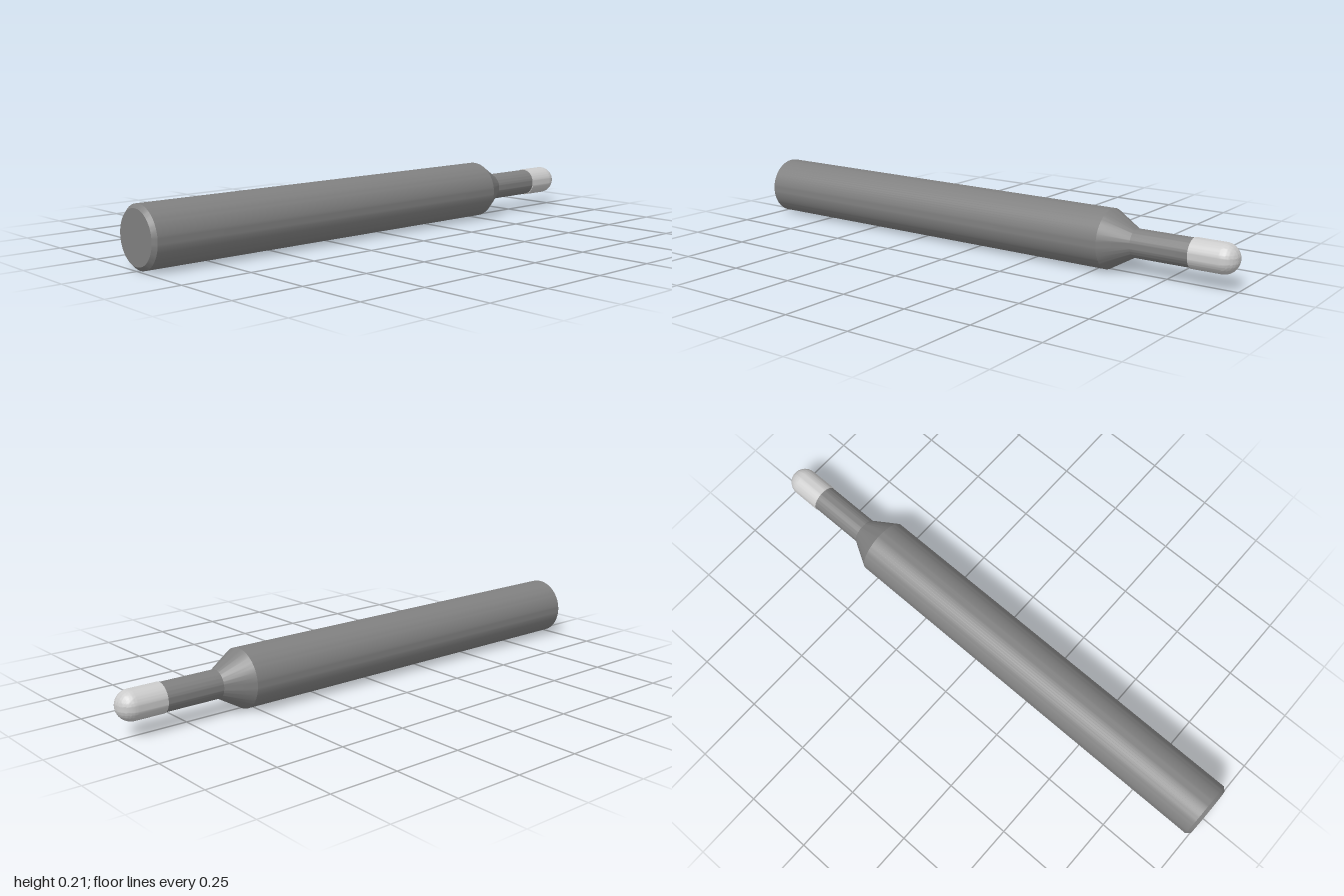
import * as THREE from 'three';
import { toCreasedNormals } from 'three/addons/utils/BufferGeometryUtils.js';

const SIDES = 72;
const UNIT = 1 / 19;           // one tool millimetre
const SHANK_R = 2 * UNIT;
const NECK_R = 0.95 * UNIT;
const BALL_R = UNIT;
const CHAMFER = 0.25 * UNIT;
const TIP_START = 1 - 3 * UNIT;
const NECK_START = 1 - 7 * UNIT;
const TAPER_START = NECK_START - (SHANK_R - NECK_R) * Math.sqrt(3); // 30 degree cone

// Turns a profile of [radius, distance toward the back] around the tool axis
function turned(name, profile, color) {
  const points = profile.map(([r, d]) => new THREE.Vector2(r, d));
  const lathe = new THREE.LatheGeometry(points, SIDES);
  lathe.rotateX(-Math.PI / 2);
  const mesh = new THREE.Mesh(
    toCreasedNormals(lathe, 0.35),
    new THREE.MeshStandardMaterial({ color })
  );
  mesh.name = name;
  mesh.position.y = SHANK_R;
  return mesh;
}

export function createModel() {
  const model = new THREE.Group();
  model.name = 'ballEndTool';

  // Shank with chamfered end, conical shoulder and thin neck
  model.add(turned('shankAndNeck', [
    [0, -1],
    [SHANK_R - CHAMFER, -1],
    [SHANK_R, -1 + CHAMFER],
    [SHANK_R, TAPER_START],
    [NECK_R, NECK_START],
    [NECK_R, TIP_START],
    [0, TIP_START],
  ], 0x808080));

  // Cutting tip: short cylinder closed by a hemisphere
  const tip = [[0, TIP_START], [BALL_R, TIP_START]];
  const STEPS = 16;
  for (let i = 0; i <= STEPS; i++) {
    const a = (i / STEPS) * Math.PI / 2;
    tip.push([i === STEPS ? 0 : BALL_R * Math.cos(a), 1 - BALL_R + BALL_R * Math.sin(a)]);
  }
  model.add(turned('ballTip', tip, 0xcccccc));

  return model;
}
